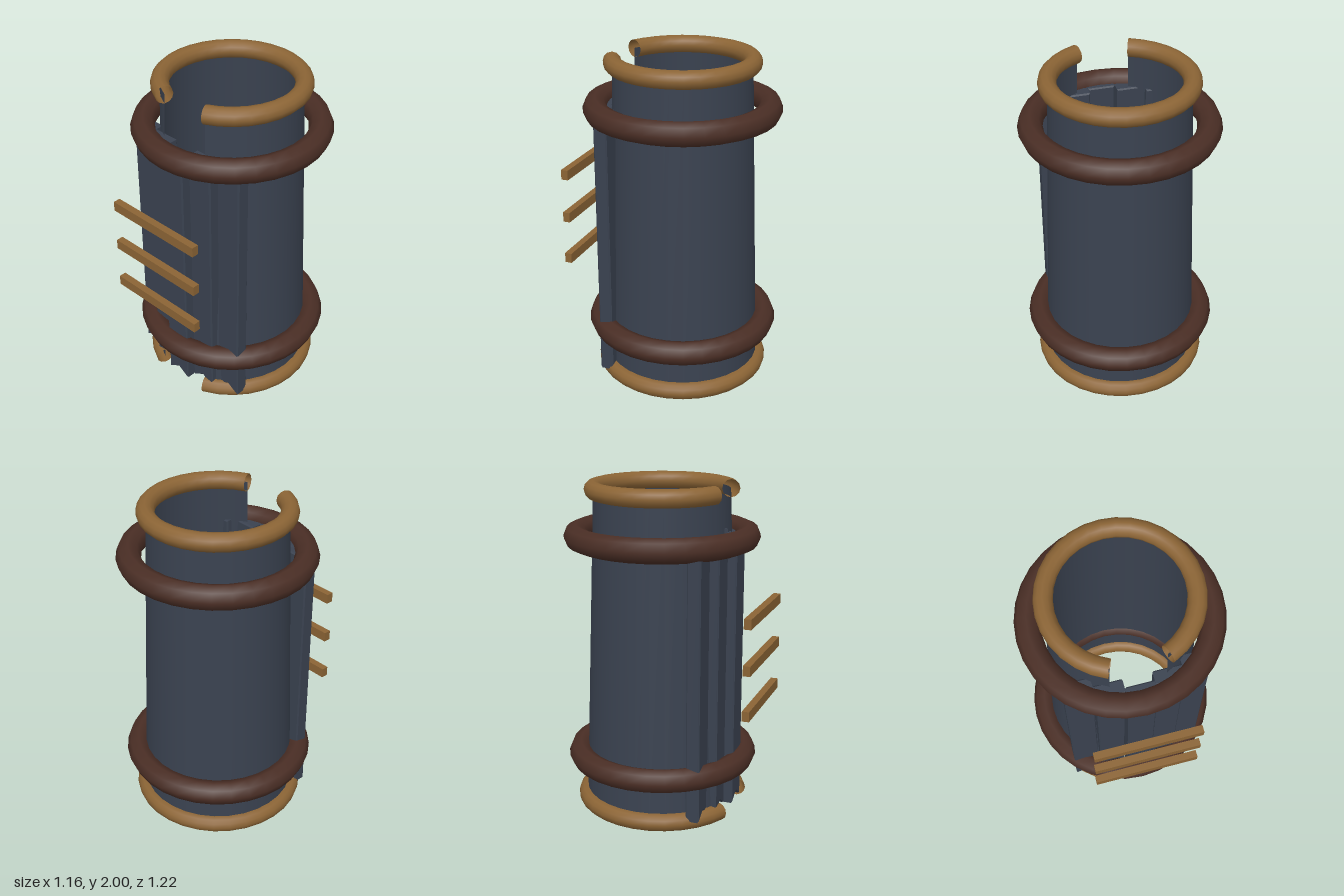
import * as THREE from 'three';

export function createModel() {
  const model = new THREE.Group();
  const slate = new THREE.MeshStandardMaterial({ name: 'slate cloth', color: 0x3a4250, side: THREE.DoubleSide });
  const brown = new THREE.MeshStandardMaterial({ name: 'brown leather', color: 0x4a2e25 });
  const gold = new THREE.MeshStandardMaterial({ name: 'old gold', color: 0x8b6435, side: THREE.DoubleSide });

  const axisZ = -0.034; // centre line of the sleeve
  const gap = Math.PI / 4; // opening at the front
  const arc = Math.PI * 2 - gap;

  function add(name, geometry, material, x, y, z) {
    const mesh = new THREE.Mesh(geometry, material);
    mesh.name = name;
    mesh.position.set(x, y, z);
    model.add(mesh);
    return mesh;
  }

  // Tapered sleeve, open at both ends and split at the front
  add('sleeve', new THREE.CylinderGeometry(0.4, 0.47, 1.9, 28, 1, true, gap / 2, arc), slate, 0, 1.0, axisZ);

  // Gold rims follow the split edge
  function rim(name, radius, y) {
    const g = new THREE.TorusGeometry(radius, 0.053, 12, 28, arc);
    g.rotateZ(Math.PI / 2 + gap / 2);
    g.rotateX(Math.PI / 2);
    add(name, g, gold, 0, y, axisZ);
  }
  rim('topRim', 0.401, 1.947);
  rim('bottomRim', 0.471, 0.053);

  // Full leather straps
  [['upperStrap', 1.68], ['lowerStrap', 0.332]].forEach(([name, y]) => {
    const g = new THREE.TorusGeometry(0.506, 0.072, 8, 32);
    g.rotateX(Math.PI / 2);
    add(name, g, brown, 0, y, axisZ);
  });

  // Front slats, stepped back towards the sides, each with a notched lower end
  const bevel = 0.008;
  const half = 0.081 - bevel;
  const slat = new THREE.Shape();
  slat.moveTo(-half, 0.075);
  slat.lineTo(0, 0.122);
  slat.lineTo(half, 0.075);
  slat.lineTo(half, 1.682);
  slat.lineTo(-half, 1.682);
  slat.closePath();
  const slatGeometry = new THREE.ExtrudeGeometry(slat, {
    depth: 0.082 - bevel * 2, bevelEnabled: true, bevelThickness: bevel, bevelSize: bevel, bevelSegments: 1,
  });
  const backZ = [0.367, 0.316, 0.263];
  for (let i = -2; i <= 2; i++) {
    add('frontSlat', slatGeometry, slate, i * 0.163, 0, backZ[Math.abs(i)] + bevel);
  }

  // Gold bars standing off the front
  [0.733, 1.003, 1.274].forEach((y) => {
    add('frontBar', new THREE.BoxGeometry(0.634, 0.06, 0.043), gold, 0, y, 0.588);
  });

  return model;
}
